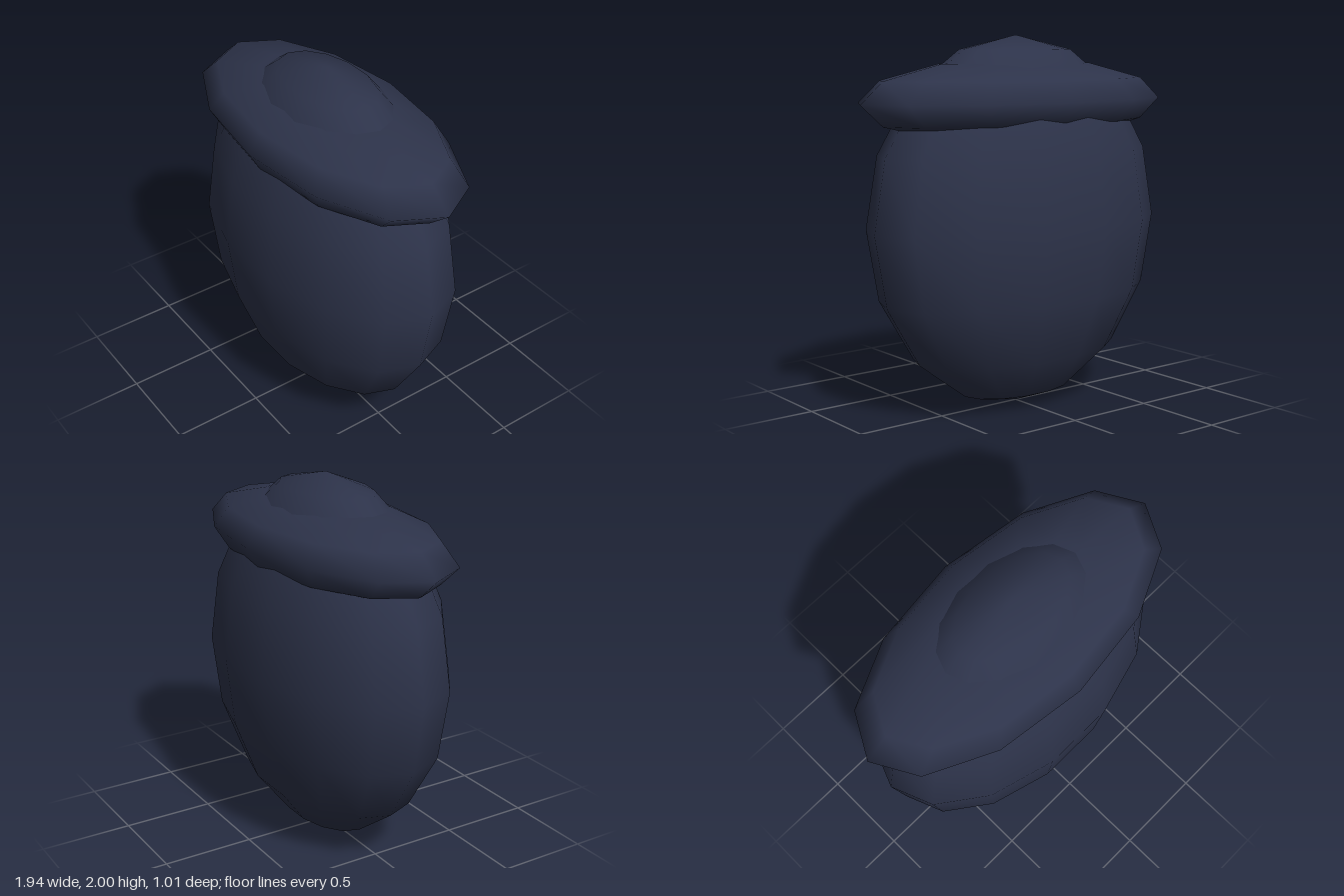
import * as THREE from 'three';

const material = new THREE.MeshStandardMaterial({ color: 0x2d334a });

// Smooth low-poly ellipsoid with the given half-sizes, centred at height y
function ellipsoid(name, rx, ry, rz, y, around, rows) {
  const geometry = new THREE.SphereGeometry(1, around, rows).scale(rx, ry, rz);
  const mesh = new THREE.Mesh(geometry, material);
  mesh.name = name;
  mesh.position.y = y;
  return mesh;
}

export function createModel() {
  const group = new THREE.Group();
  group.name = 'pouch';
  // Flattened round body, its crown showing above the flap
  group.add(ellipsoid('body', 0.9, 1, 0.52, 1, 14, 8));
  // Wide, flat flap resting around the top
  group.add(ellipsoid('flap', 0.97, 0.225, 0.47, 1.655, 12, 6));
  return group;
}
